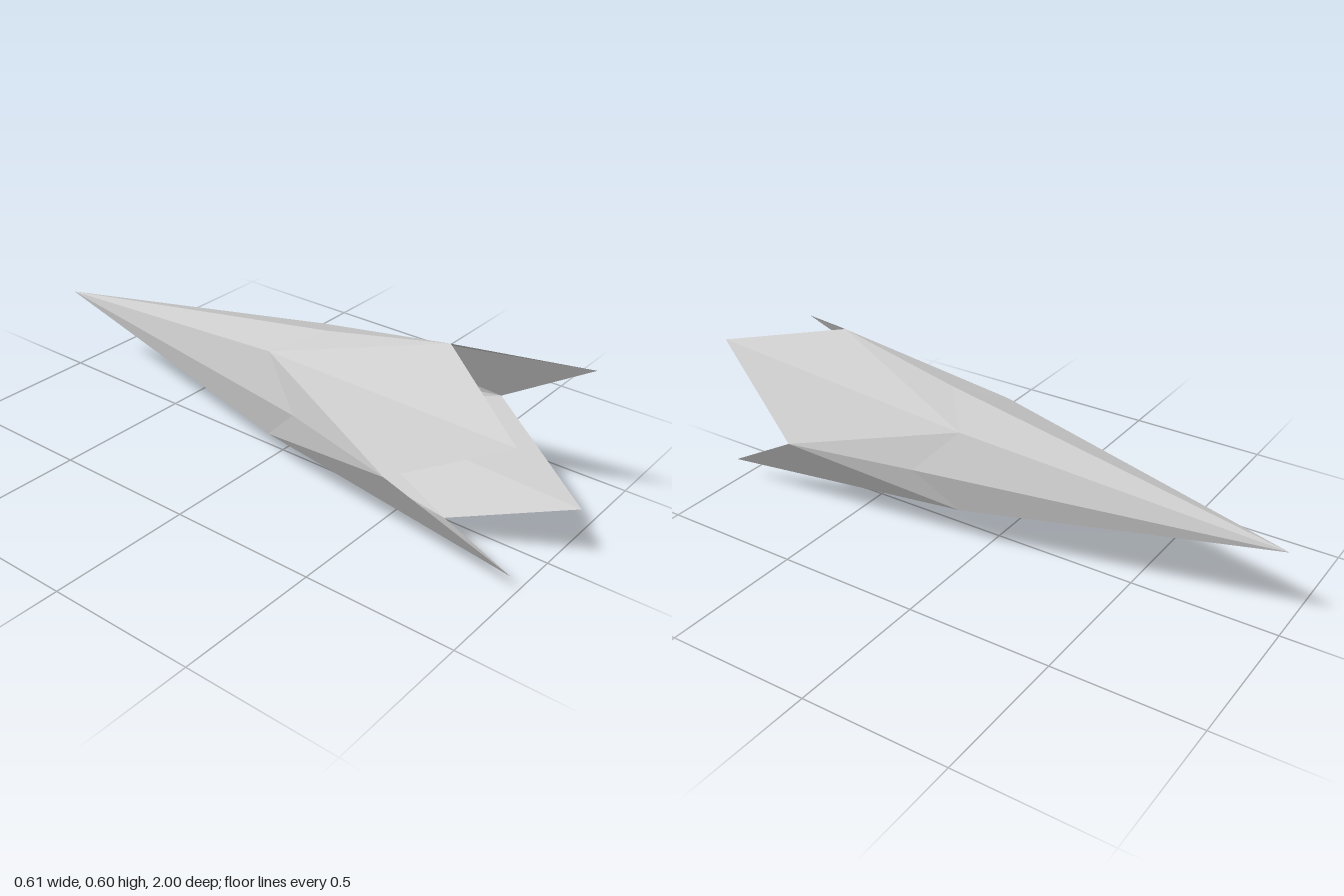
import * as THREE from 'three';

// Pointed nose of the dart
const nose = [0, 0.297, -1];

// Seams between neighbouring petals: bend point and rear notch
const seams = [
  { bend: [-0.01, 0.505, 0.19], notch: [-0.01, 0.6, 0.63] },
  { bend: [0.205, 0.29, 0.2], notch: [0.305, 0.3, 0.635] },
  { bend: [-0.012, 0.08, 0.2], notch: [0.005, 0, 0.64] },
  { bend: [-0.195, 0.29, 0.2], notch: [-0.305, 0.29, 0.62] },
];

// Petals: ridge point and rear tip, each lying between two seams
const petals = [
  { name: 'upperLeftPetal', ridge: [0.137, 0.437, 0.06], tip: [0.195, 0.55, 0.99] },
  { name: 'lowerLeftPetal', ridge: [0.145, 0.155, 0.06], tip: [0.2, 0.082, 0.995] },
  { name: 'lowerRightPetal', ridge: [-0.145, 0.15, 0.06], tip: [-0.222, 0.08, 1] },
  { name: 'upperRightPetal', ridge: [-0.14, 0.443, 0.06], tip: [-0.23, 0.49, 0.985] },
];

// Folded petal: a fan of six facets around its ridge point
function petalGeometry({ ridge, tip }, a, b) {
  const loop = [nose, a.bend, a.notch, tip, b.notch, b.bend];
  const points = loop.flatMap((p, i) => [ridge, loop[(i + 1) % loop.length], p].flat());
  const geometry = new THREE.BufferGeometry();
  geometry.setAttribute('position', new THREE.Float32BufferAttribute(points, 3));
  geometry.computeVertexNormals();
  return geometry;
}

export function createModel() {
  const group = new THREE.Group();
  group.name = 'foldedDart';
  const grey = new THREE.MeshStandardMaterial({ color: 0xcccccc, flatShading: true, side: THREE.DoubleSide });
  grey.name = 'light grey';

  petals.forEach((petal, i) => {
    const mesh = new THREE.Mesh(petalGeometry(petal, seams[i], seams[(i + 1) % 4]), grey);
    mesh.name = petal.name;
    group.add(mesh);
  });
  return group;
}
